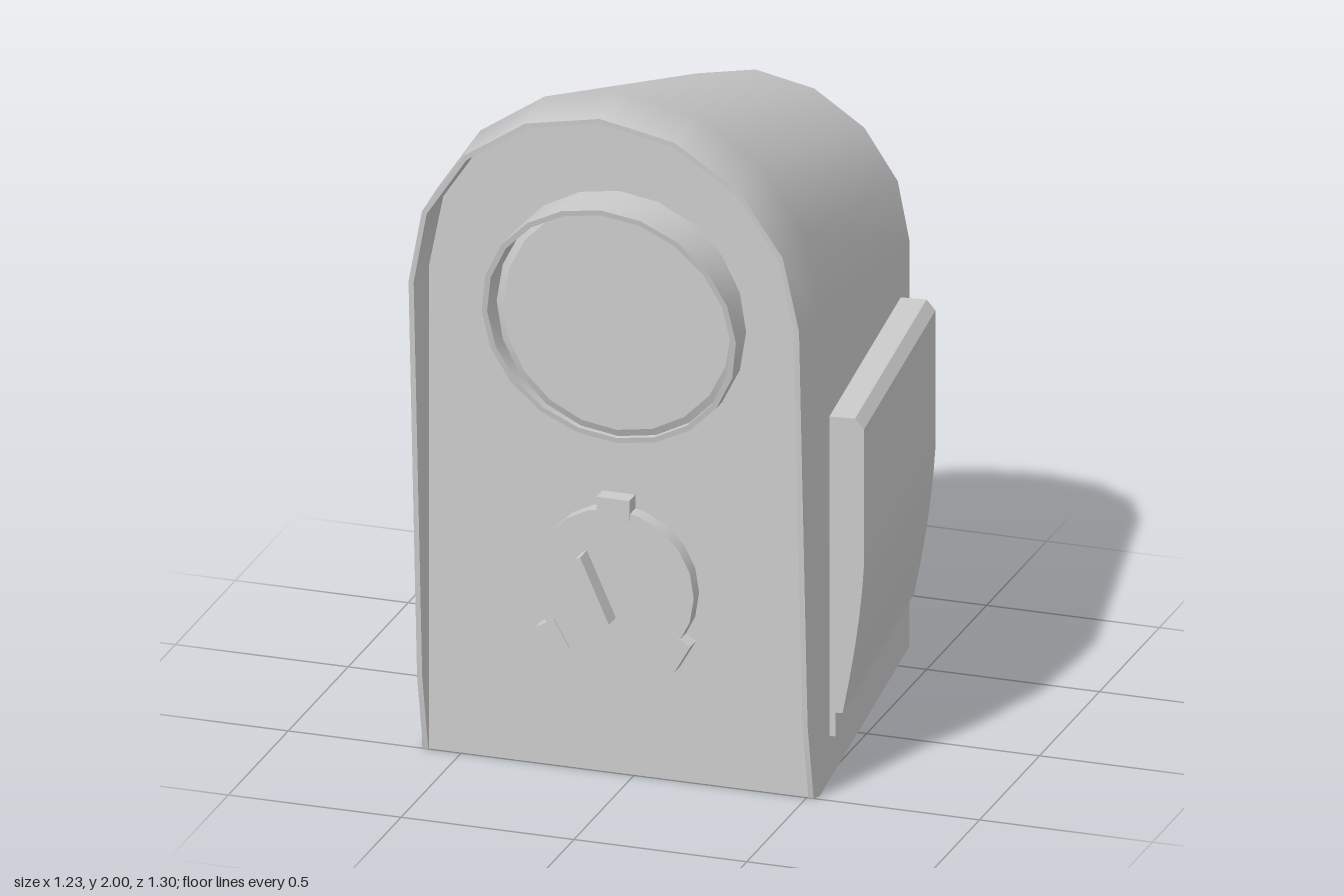
import * as THREE from 'three';

const material = new THREE.MeshStandardMaterial({ color: 0xcccccc });
const CX = -0.045;      // centre line of the body
const PANEL_Z = 0.495;  // recessed front panel

// Smooth skin over rows of points that run clockwise as seen from the front
function loft(...rows) {
  const n = rows[0].length, index = [];
  for (let r = 0; r < rows.length - 1; r++) {
    for (let i = 0; i < n - 1; i++) {
      const a = r * n + i, b = a + n;
      index.push(a, b, a + 1, b, b + 1, a + 1);
    }
  }
  const geo = new THREE.BufferGeometry().setFromPoints(rows.flat());
  geo.setIndex(index);
  geo.computeVertexNormals();
  return geo;
}

// Arched outline: straight sides below a half circle of eight segments
function arch(halfWidth, top, z) {
  const spring = top - halfWidth;
  const xy = [[-halfWidth, 0], [-halfWidth, 0.23]];
  for (let i = 0; i <= 8; i++) {
    const a = Math.PI * (1 - i / 8);
    xy.push([halfWidth * Math.cos(a), spring + halfWidth * Math.sin(a)]);
  }
  xy.push([halfWidth, 0.23], [halfWidth, 0]);
  return xy.map(([x, y]) => new THREE.Vector3(x, y, z(y)));
}

function ring(radius, z) {
  const points = [];
  for (let i = 0; i <= 20; i++) {
    const a = -Math.PI / 2 - (i / 20) * Math.PI * 2;
    const y = radius * Math.sin(a);
    points.push(new THREE.Vector3(radius * Math.cos(a), y, z(y)));
  }
  return points;
}

function flat(points) {
  return new THREE.ShapeGeometry(new THREE.Shape(points.map((p) => new THREE.Vector2(p.x, p.y))));
}

function add(parent, name, geometry) {
  const mesh = new THREE.Mesh(geometry, material);
  mesh.name = name;
  parent.add(mesh);
  return mesh;
}

function createBody() {
  const body = new THREE.Group();
  body.name = 'body';
  const rimZ = (y) => (y < 0.23 ? 0.5 + 0.22 * y : 0.55 + 0.06 * (y - 0.23));
  const back = arch(0.445, 1.64, () => -0.645);
  const shoulder = arch(0.575, 2, () => 0.48);
  const rim = arch(0.565, 1.985, rimZ);
  const lip = arch(0.55, 1.97, rimZ);
  const inner = arch(0.55, 1.97, () => PANEL_Z);

  add(body, 'shell', loft(back, shoulder, rim));
  add(body, 'rim', loft(rim, lip));
  add(body, 'recessWall', loft(lip, inner));
  add(body, 'frontPanel', flat(inner)).position.z = PANEL_Z;
  const backPanel = add(body, 'backPanel', flat(back));
  backPanel.rotation.y = Math.PI;
  backPanel.position.z = -0.645;

  const half = [[0.445, -0.645], [0.575, 0.48], [0.565, 0.5]];
  const base = [...half, ...half.map(([x, z]) => [-x, z]).reverse()];
  add(body, 'base', flat(base.map(([x, y]) => new THREE.Vector2(x, y))).rotateX(Math.PI / 2));
  body.position.x = CX;
  return body;
}

// Round lens under a slanted hood that is deepest at the top
function createLamp() {
  const lamp = new THREE.Group();
  lamp.name = 'lamp';
  const front = (y) => 0.085 + 0.185 * y;
  const base = () => 0;
  add(lamp, 'hoodOutside', loft(ring(0.368, base), ring(0.368, front)));
  add(lamp, 'hoodEdge', loft(ring(0.368, front), ring(0.352, front)));
  add(lamp, 'hoodInside', loft(ring(0.352, front), ring(0.352, base)));
  add(lamp, 'lensBevel', loft(ring(0.352, () => 0.005), ring(0.33, () => 0.015)));
  add(lamp, 'lens', new THREE.CircleGeometry(0.33, 20)).position.z = 0.015;
  lamp.position.set(CX, 1.345, PANEL_Z);
  return lamp;
}

// Dial with three grips and a thin pointer
function createDial() {
  const dial = new THREE.Group();
  dial.name = 'dial';
  const disc = new THREE.CylinderGeometry(0.232, 0.232, 0.045, 20).rotateX(Math.PI / 2);
  add(dial, 'dialDisc', disc).position.z = 0.0225;

  // angle of the grip and its sideways shift
  for (const [degrees, shift] of [[90, 0], [210, 0.058], [330, -0.058]]) {
    const pivot = new THREE.Group();
    pivot.name = 'grip';
    pivot.rotation.z = THREE.MathUtils.degToRad(degrees);
    const grip = add(pivot, 'gripBlock', new THREE.BoxGeometry(0.06, 0.095, 0.05));
    grip.position.set(0.235, shift, 0.025);
    dial.add(pivot);
  }

  const pointer = add(dial, 'pointer', new THREE.BoxGeometry(0.015, 0.205, 0.065));
  pointer.position.set(-0.042, 0.005, 0.07);
  pointer.rotation.z = 0.42;
  dial.position.set(CX, 0.56, PANEL_Z);
  return dial;
}

// Side hatch: bulging cover with a low sill, following the tapered wall
function createHatch() {
  const profile = new THREE.Shape();
  profile.moveTo(-0.03, 0.13);
  profile.lineTo(0.015, 0.13);
  profile.lineTo(0.015, 0.2);
  profile.lineTo(0.035, 0.2);
  profile.quadraticCurveTo(0.085, 0.45, 0.095, 0.64);
  profile.lineTo(0.095, 1.04);
  profile.lineTo(0.07, 1.07);
  profile.lineTo(-0.03, 1.07);
  profile.closePath();
  const geo = new THREE.ExtrudeGeometry(profile, { depth: 0.9, bevelEnabled: false, curveSegments: 5 });
  geo.translate(0, 0, -0.9);
  const hatch = new THREE.Mesh(geo, material);
  hatch.name = 'sideHatch';
  hatch.position.set(0.518, 0, 0.357);
  hatch.rotation.y = 0.115;
  return hatch;
}

export function createModel() {
  const model = new THREE.Group();
  model.name = 'signalLamp';
  model.add(createBody(), createLamp(), createDial(), createHatch());
  return model;
}
